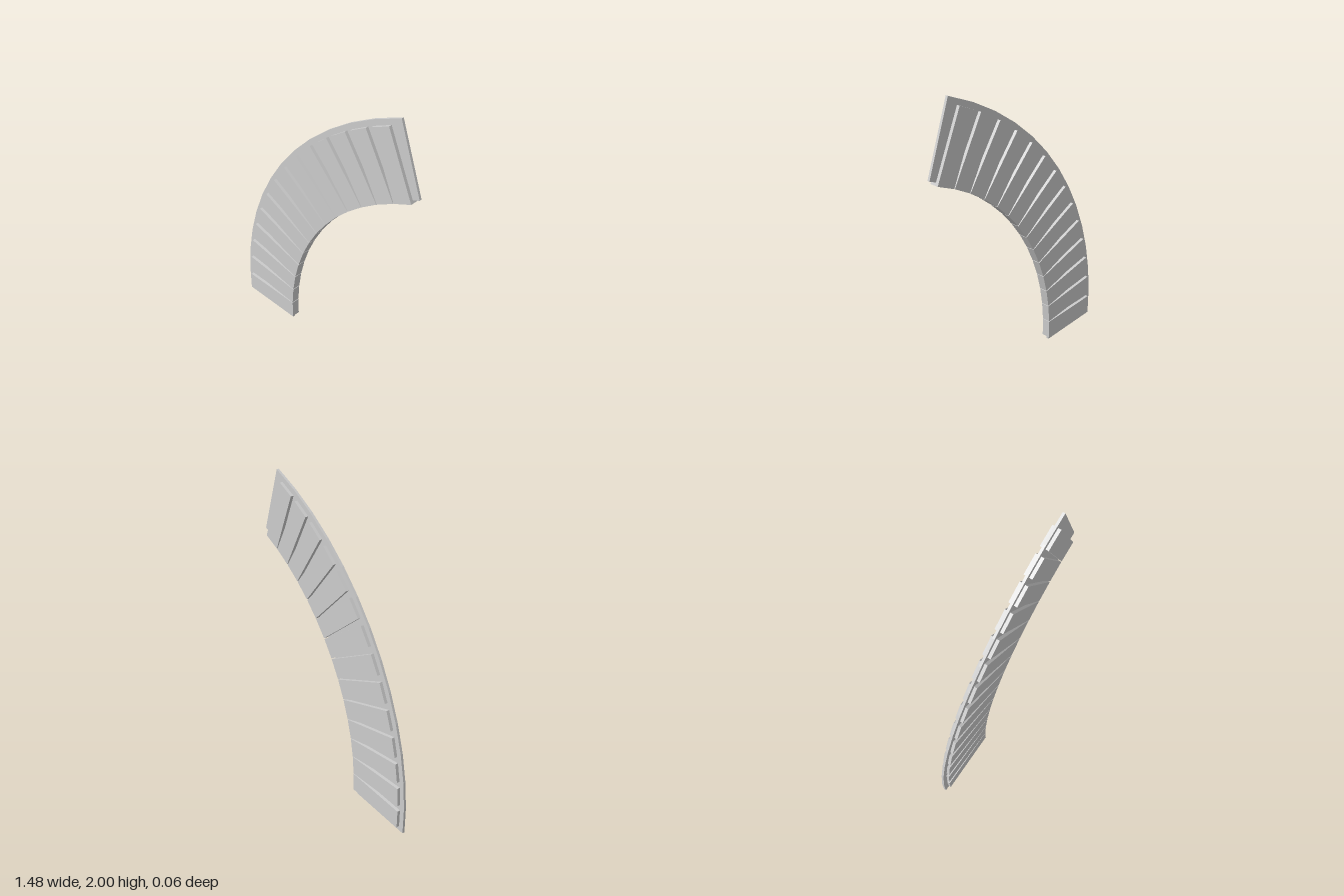
import * as THREE from 'three';

const CENTRE = { x: 1.284, y: 0.1 };
const rad = THREE.MathUtils.degToRad;

// Point on the arch, angle measured upward from the -x direction
const onArch = (radius, degrees) => new THREE.Vector2(
  CENTRE.x - radius * Math.cos(rad(degrees)),
  CENTRE.y + radius * Math.sin(rad(degrees)),
);

export function createModel() {
  const model = new THREE.Group();
  model.name = 'curvedBlockArch';
  const material = new THREE.MeshStandardMaterial({ color: 0xcccccc, flatShading: true });

  // Thin faceted web running through the middle of the blocks
  const segments = 13, start = -2.8, end = 69.7;
  const outer = [], inner = [];
  for (let i = 0; i <= segments; i++) {
    const angle = start + (end - start) * i / segments;
    outer.push(onArch(2.026, angle));
    inner.push(onArch(1.565, angle));
  }
  outer[0].y = inner[0].y = 0; // level foot
  const webGeometry = new THREE.ExtrudeGeometry(
    new THREE.Shape([...outer, ...inner.reverse()]),
    { depth: 0.016, bevelEnabled: false },
  );
  webGeometry.translate(0, 0, -0.008);
  const web = new THREE.Mesh(webGeometry, material);
  web.name = 'web';
  model.add(web);

  // Rectangular blocks fanned along the arch, nearly touching on the inside
  const blockGeometry = new THREE.BoxGeometry(0.445, 0.131, 0.057);
  const count = 14, step = 65.5 / (count - 1);
  for (let i = 0; i < count; i++) {
    const block = new THREE.Mesh(blockGeometry, material);
    const p = onArch(1.766, i * step);
    block.position.set(p.x, p.y, 0);
    block.rotation.z = -rad(i * step);
    block.name = `block${i + 1}`;
    model.add(block);
  }
  return model;
}
